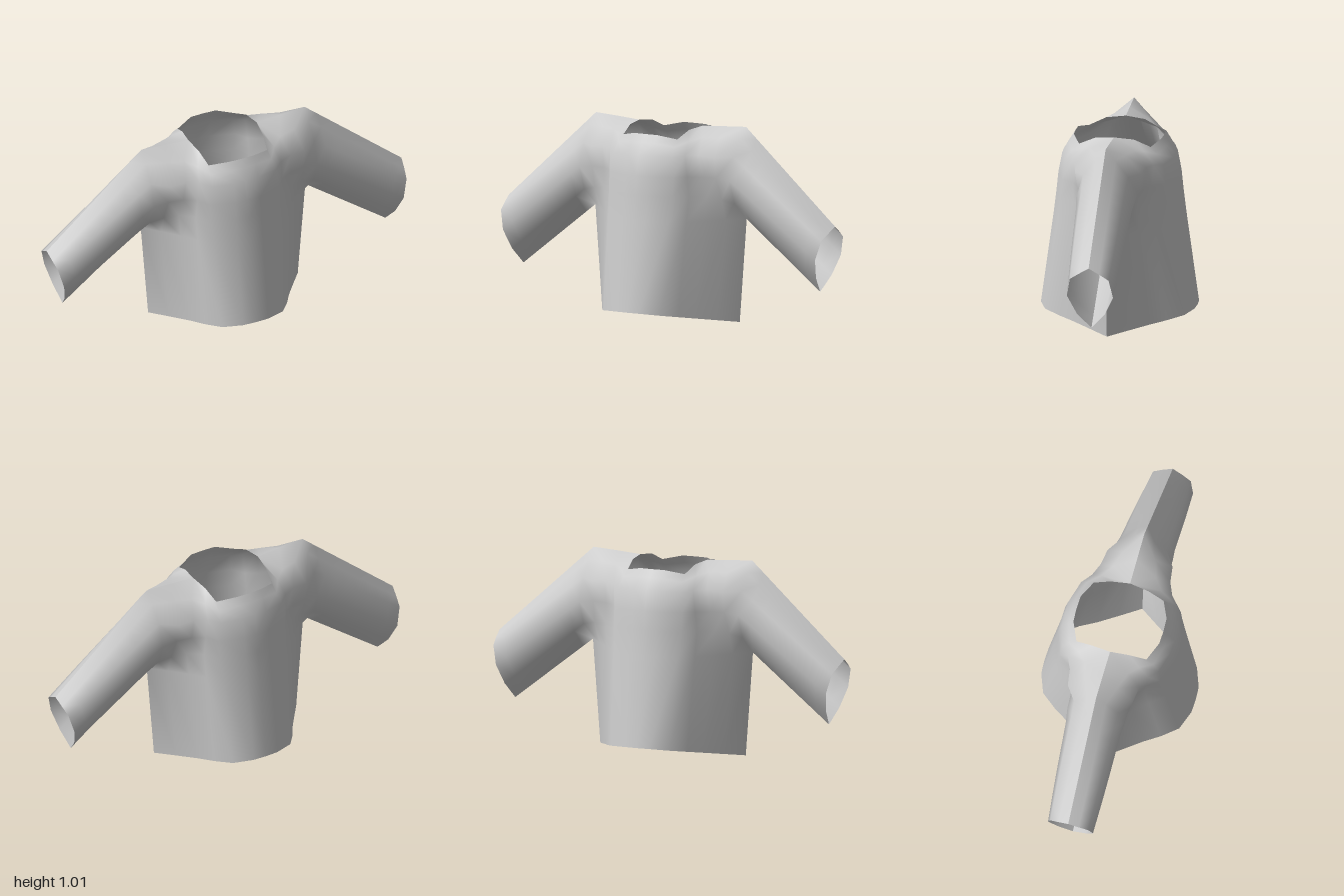
import * as THREE from 'three';
import { mergeVertices } from 'three/addons/utils/BufferGeometryUtils.js';

const fabric = new THREE.MeshStandardMaterial({ color: 0xcccccc, side: THREE.DoubleSide });
fabric.name = 'greyFabric';

// Half cross-sections of the front, each from the centre line out to the side.
// A shallow valley separates the chest from the sleeve.
const hem = [[0, 0.4], [0.17, 0.36], [0.232, 0.28], [0.28, 0.2], [0.35, 0.1], [0.422, 0]]
  .map(([x, z]) => [x, 0.003 + 0.155 * z, z]);
const armpit = [[0, 0.53, 0.336], [0.185, 0.53, 0.295], [0.245, 0.53, 0.222], [0.305, 0.53, 0.15], [0.385, 0.535, 0.075], [0.464, 0.537, 0]];
const ribs = [[0, 0.66, 0.32], [0.195, 0.66, 0.275], [0.245, 0.66, 0.2], [0.315, 0.655, 0.143], [0.39, 0.645, 0.118], [0.46, 0.63, 0.108]];
const chest = [[0, 0.76, 0.31], [0.195, 0.76, 0.267], [0.238, 0.76, 0.205], [0.3, 0.76, 0.168], [0.38, 0.76, 0.155], [0.46, 0.75, 0.152]];
const collarbone = [[0, 0.865, 0.29], [0.18, 0.86, 0.256], [0.23, 0.87, 0.212], [0.295, 0.875, 0.184], [0.38, 0.865, 0.172], [0.46, 0.87, 0.117]];
const shoulder = [[0, 0.925, 0.255], [0.17, 0.91, 0.222], [0.215, 0.935, 0.16], [0.27, 0.955, 0.115], [0.36, 0.955, 0.085], [0.46, 0.955, 0.05]];
const neckline = [[0, 0.965, 0.23], [0.165, 0.945, 0.185], [0.18, 0.985, 0.1], [0.192, 0.995, 0], [0.32, 1.004, 0], [0.46, 1.012, 0]];

// Cuff edge from the underside to the top of the wrist
const cuff = [[0.91, 0.2, 0], [0.932, 0.28, 0.072], [0.957, 0.38, 0.119], [0.982, 0.478, 0.1], [0.992, 0.511, 0.052], [1, 0.543, 0]];

// Adds a point that keeps the middle of the body nearly flat
const withFlatCentre = (row) => [row[0], [0.07, row[0][1], row[0][2] - 0.003], ...row.slice(1)];

// The body hangs slightly off centre, while the cuffs stay in place
const hang = (x) => x - 0.011 * (1 - Math.abs(x));

function panelGeometry(facing) {
  const pos = [];
  const addGrid = (rows, side) => {
    const p = (r, c) => [hang(rows[r][c][0] * side), rows[r][c][1], rows[r][c][2] * facing];
    for (let r = 0; r < rows.length - 1; r++) {
      for (let c = 0; c < rows[r].length - 1; c++) {
        const a = p(r, c), b = p(r, c + 1), d = p(r + 1, c + 1), e = p(r + 1, c);
        const tris = side * facing > 0 ? [a, b, d, a, d, e] : [a, d, b, a, e, d];
        tris.forEach((v) => pos.push(...v));
      }
    }
  };

  const body = [hem, armpit, ribs, chest, collarbone, shoulder, neckline].map(withFlatCentre);
  // Sleeve rows run from the armhole to the cuff, slimming mostly near the armhole
  const steps = 8;
  const sleeve = body.slice(1).map((row, k) => {
    const a = row[row.length - 1], b = cuff[k];
    return Array.from({ length: steps + 1 }, (_, i) => {
      const t = i / steps;
      const depth = a[2] + (b[2] - a[2]) * Math.pow(t, 0.55) + 0.035 * a[2] * Math.sin(Math.PI * t);
      return [a[0] + (b[0] - a[0]) * t, a[1] + (b[1] - a[1]) * t, depth];
    });
  });

  for (const side of [1, -1]) {
    addGrid(body, side);
    addGrid(sleeve, side);
  }
  const soup = new THREE.BufferGeometry();
  soup.setAttribute('position', new THREE.Float32BufferAttribute(pos, 3));
  const geometry = mergeVertices(soup, 1e-4);
  geometry.computeVertexNormals();
  return geometry;
}

export function createModel() {
  const group = new THREE.Group();
  group.name = 'shirt';
  // Front and back panels meet in a sharp seam along the sides and shoulders
  for (const [name, facing] of [['frontPanel', 1], ['backPanel', -1]]) {
    const panel = new THREE.Mesh(panelGeometry(facing), fabric);
    panel.name = name;
    group.add(panel);
  }
  return group;
}
